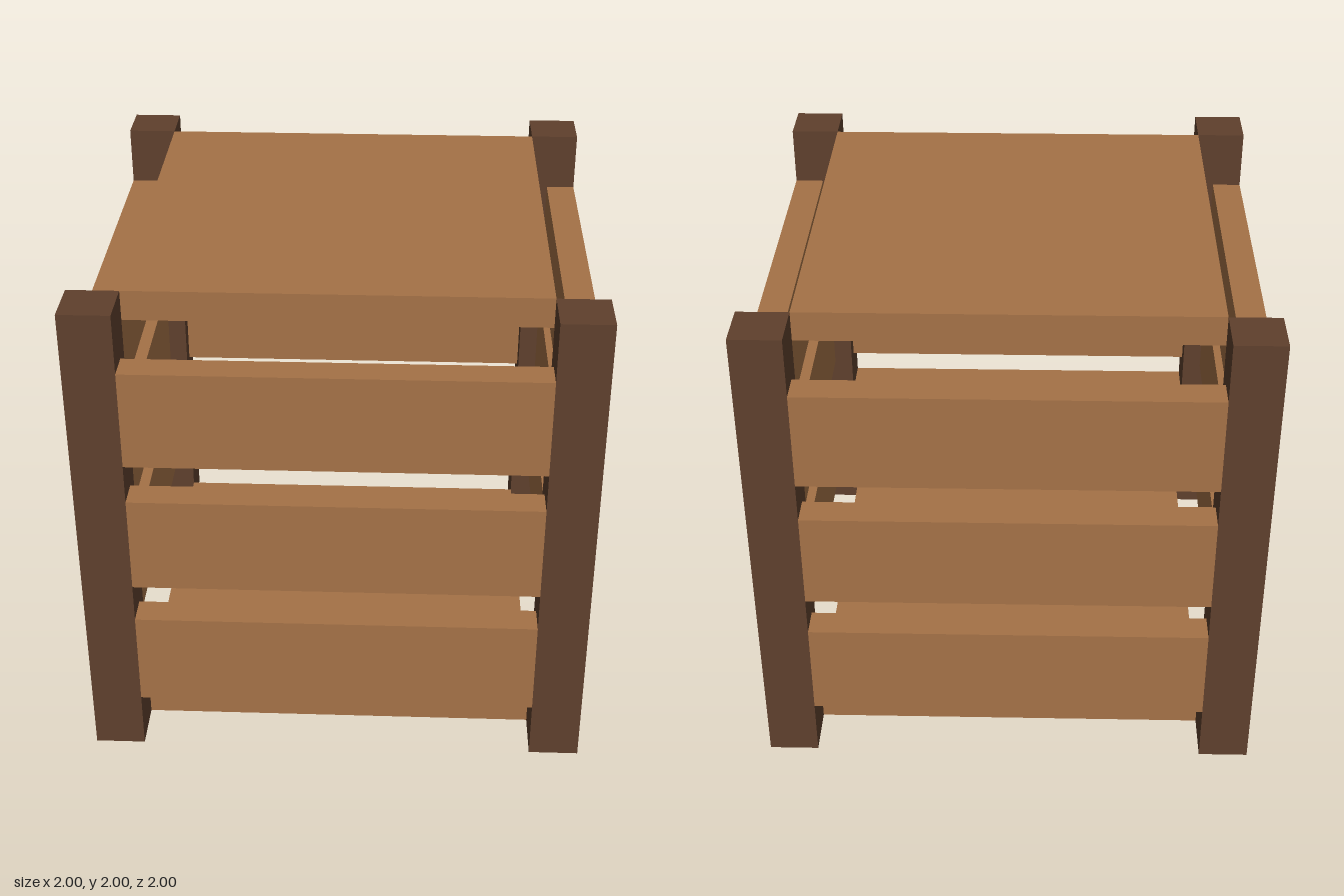
import * as THREE from 'three';

export function createModel() {
  const crate = new THREE.Group();
  crate.name = 'crate';
  const darkWood = new THREE.MeshStandardMaterial({ color: 0x5f402d });
  darkWood.name = 'dark wood';
  const lightWood = new THREE.MeshStandardMaterial({ color: 0xa57247 });
  lightWood.name = 'light wood';

  const add = (name, geometry, material, x, y, z, turn = 0) => {
    const mesh = new THREE.Mesh(geometry, material);
    mesh.name = name;
    mesh.position.set(x, y, z);
    mesh.rotation.y = turn;
    crate.add(mesh);
  };

  // Corner posts
  const post = new THREE.BoxGeometry(0.2, 2, 0.2);
  for (const x of [-0.9, 0.9]) {
    for (const z of [-0.9, 0.9]) add('cornerPost', post, darkWood, x, 1, z);
  }

  // Floor and lid panels, touching the posts only at their corners
  const panel = new THREE.BoxGeometry(1.6, 0.12, 1.6);
  add('floorPanel', panel, lightWood, 0, 0.06, 0);
  add('lidPanel', panel, lightWood, 0, 1.94, 0);

  // Three slats on each side, flush with the outer faces of the posts
  const slat = new THREE.BoxGeometry(1.6, 0.4, 0.12);
  for (let side = 0; side < 4; side++) {
    const turn = side * Math.PI / 2;
    for (const y of [0.44, 1, 1.56]) {
      add('sideSlat', slat, lightWood, 0.94 * Math.sin(turn), y, 0.94 * Math.cos(turn), turn);
    }
  }
  return crate;
}
